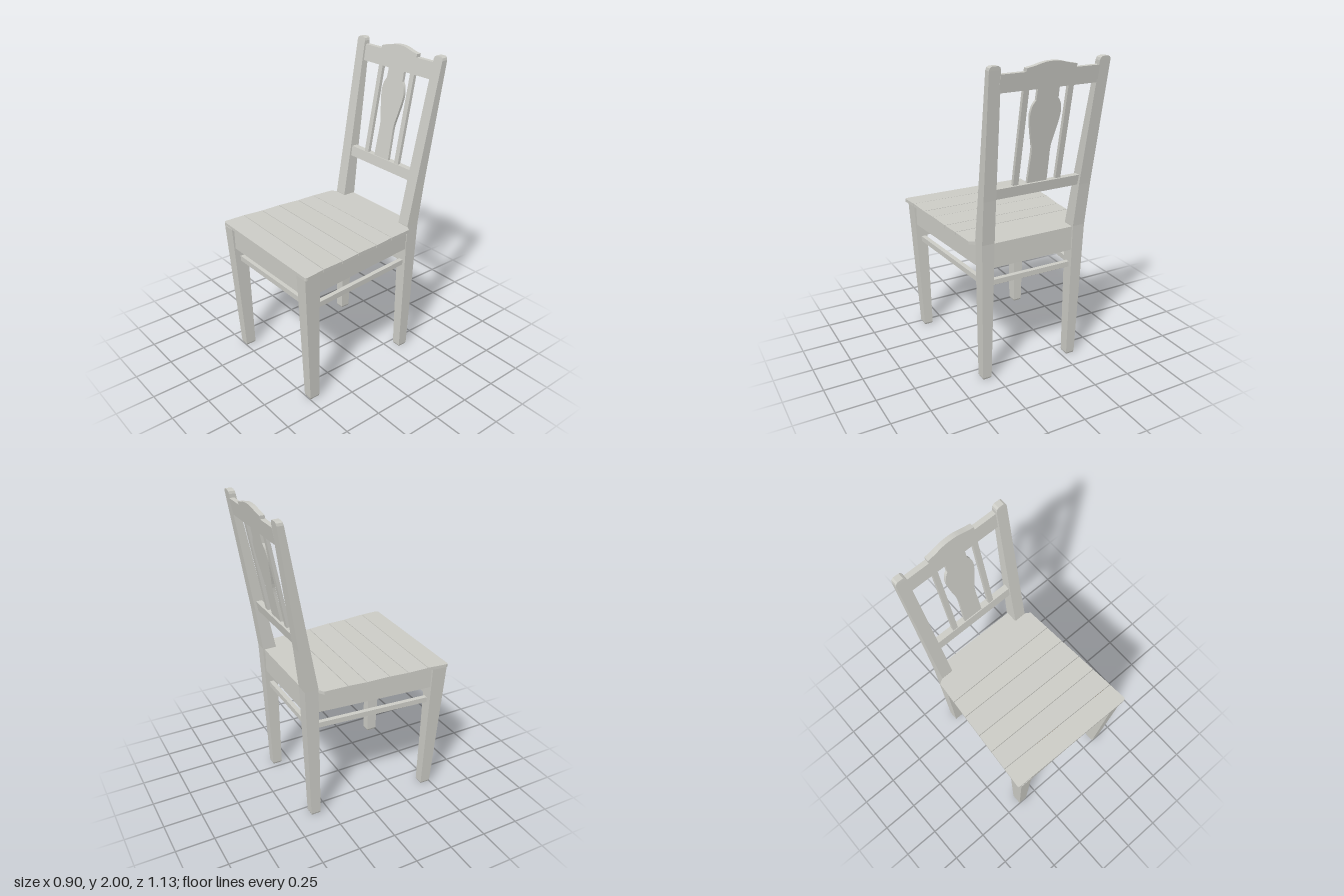
import * as THREE from 'three';

const paint = new THREE.MeshStandardMaterial({ color: 0xcbcbc5 });
paint.name = 'grey paint';
const wood = new THREE.MeshStandardMaterial({ color: 0x755a40 });
wood.name = 'bare wood';

// Rectangular sections [y, xInner, xOuter, zBack, zFront] joined upwards; the bottom cap is bare wood.
function loft(sections, side) {
  const rings = sections.map(([y, xi, xo, zb, zf]) => {
    const [a, b] = side > 0 ? [xi, xo] : [-xo, -xi];
    return [[a, y, zf], [b, y, zf], [b, y, zb], [a, y, zb]];
  });
  const pos = [];
  const quad = (a, b, c, d) => pos.push(...a, ...b, ...c, ...a, ...c, ...d);
  for (let i = 0; i + 1 < rings.length; i++) {
    for (let k = 0; k < 4; k++) {
      const n = (k + 1) % 4;
      quad(rings[i][k], rings[i][n], rings[i + 1][n], rings[i + 1][k]);
    }
  }
  quad(...rings[rings.length - 1]);
  const bottomStart = pos.length / 3;
  quad(...rings[0].slice().reverse());
  const geo = new THREE.BufferGeometry();
  geo.setAttribute('position', new THREE.Float32BufferAttribute(pos, 3));
  geo.addGroup(0, bottomStart, 0);
  geo.addGroup(bottomStart, 6, 1);
  geo.computeVertexNormals();
  return geo;
}

const shapeOf = (pts) => new THREE.Shape(pts.map(([x, y]) => new THREE.Vector2(x, y)));

// Flat plan outline [x, z] raised from y0 to y1
function slab(plan, y0, y1) {
  const geo = new THREE.ExtrudeGeometry(shapeOf(plan), { depth: y1 - y0, bevelEnabled: false });
  return geo.rotateX(Math.PI / 2).translate(0, y1, 0);
}

// Applies a rule to each vertex
function bend(geo, rule) {
  const p = geo.attributes.position;
  const v = new THREE.Vector3();
  for (let i = 0; i < p.count; i++) {
    rule(v.fromBufferAttribute(p, i));
    p.setXYZ(i, v.x, v.y, v.z);
  }
  geo.computeVertexNormals();
  return geo;
}

// Front outline [x, y] leaned back to the slope of the backrest
function leaning(outline, thickness, inset = 0) {
  const geo = new THREE.ExtrudeGeometry(shapeOf(outline), { depth: thickness, bevelEnabled: false });
  return bend(geo, (v) => { v.z += -0.385 - 0.19 * (v.y - 1.215) - inset - thickness; });
}

const rect = (x0, x1, y0, y1) => [[x0, y0], [x1, y0], [x1, y1], [x0, y1]];
const mirrored = (half) => [...half, ...half.slice().reverse().map(([x, y]) => [-x, y])];
const smooth = (pts, n) => new THREE.SplineCurve(pts.map(([x, y]) => new THREE.Vector2(x, y)))
  .getPoints(n).map((p) => [p.x, p.y]);

export function createModel() {
  const chair = new THREE.Group();
  chair.name = 'chair';
  const add = (name, geo, mat = paint) => {
    const mesh = new THREE.Mesh(geo, mat);
    mesh.name = name;
    chair.add(mesh);
  };

  for (const s of [1, -1]) {
    const label = s > 0 ? 'left' : 'right';
    // Tapered front leg
    add(label + 'FrontLeg', loft([
      [0, 0.34, 0.39, 0.435, 0.495],
      [0.012, 0.335, 0.395, 0.43, 0.5],
      [0.916, 0.347, 0.43, 0.445, 0.55],
    ], s), [paint, wood]);
    // Back leg running up into the raked post
    add(label + 'BackPost', loft([
      [0, 0.285, 0.335, -0.37, -0.315],
      [0.012, 0.28, 0.34, -0.375, -0.31],
      [0.94, 0.273, 0.355, -0.41, -0.32],
      [1.22, 0.281, 0.361, -0.445, -0.373],
      [1.975, 0.309, 0.38, -0.557, -0.516],
      [1.99, 0.314, 0.376, -0.559, -0.519],
      [1.998, 0.326, 0.364, -0.56, -0.521],
    ], s), [paint, wood]);

    // Side apron, its bare inner face, and stretcher
    const strip = (outF, outB, t) => {
      const plan = [[outF, 0.45], [outB, -0.33], [outB - t, -0.33], [outF - t, 0.45]];
      return plan.map(([x, z]) => [s * x, z]);
    };
    add(label + 'Apron', slab(strip(0.416, 0.347, 0.03), 0.775, 0.917));
    add(label + 'ApronInside', slab(strip(0.386, 0.317, 0.004), 0.777, 0.915), wood);
    add(label + 'Stretcher', slab(strip(0.388, 0.327, 0.03), 0.65, 0.685));

    // Slim backrest bar
    const bar = s > 0 ? rect(0.125, 0.16, 1.275, 1.86) : rect(-0.16, -0.125, 1.275, 1.86);
    add(label + 'BackBar', leaning(bar, 0.022, 0.004));
  }

  // Front and back aprons and stretchers
  add('frontApron', slab(rect(-0.36, 0.36, 0.505, 0.533), 0.775, 0.917));
  add('frontApronInside', slab(rect(-0.345, 0.345, 0.501, 0.505), 0.777, 0.915), wood);
  add('backApron', slab(rect(-0.285, 0.285, -0.395, -0.367), 0.775, 0.917));
  add('backApronInside', slab(rect(-0.275, 0.275, -0.367, -0.363), 0.777, 0.915), wood);
  add('frontStretcher', slab(rect(-0.35, 0.35, 0.47, 0.5), 0.675, 0.71));
  add('backStretcher', slab(rect(-0.29, 0.29, -0.375, -0.345), 0.65, 0.685));

  // Seat planks: [z at right edge, z at left edge] of each joint
  const joints = [[-0.145, -0.143], [-0.021, -0.009], [0.133, 0.147], [0.262, 0.274], [0.4, 0.424], [0.546, 0.561]];
  const halfWidth = (z) => 0.39 + 0.07 * (z + 0.3);
  const gap = 0.002;
  const plank = (plan, zMid, tilt) =>
    bend(slab(plan, 0.915, 0.936), (v) => { v.y += tilt * (v.z - zMid); });
  const [r0, l0] = joints[0];
  add('seatPlank1', plank([
    [-halfWidth(r0), r0 - gap], [-0.39, -0.3], [-0.355, -0.322], [-0.272, -0.322], [-0.272, -0.4],
    [0.272, -0.4], [0.272, -0.322], [0.355, -0.322], [0.39, -0.3], [halfWidth(l0), l0 - gap],
  ], -0.25, 0.01));
  for (let i = 0; i + 1 < joints.length; i++) {
    const [ra, la] = joints[i];
    const [rb, lb] = joints[i + 1];
    const last = i + 2 === joints.length;
    const wr = halfWidth(rb);
    const wl = halfWidth(lb);
    const front = last
      ? [[wl, lb - 0.014], [wl - 0.004, lb - 0.004], [wl - 0.014, lb],
        [-wr + 0.014, rb], [-wr + 0.004, rb - 0.004], [-wr, rb - 0.014]]
      : [[wl, lb - gap], [-wr, rb - gap]];
    add('seatPlank' + (i + 2), plank(
      [[-halfWidth(ra), ra + gap], [halfWidth(la), la + gap], ...front],
      (ra + rb) / 2, last ? -0.03 : (i % 2 ? 0.025 : -0.025)));
  }
  // Bare underside of the seat between the aprons
  add('seatUnderside', slab([[-0.38, 0.502], [-0.318, -0.364], [0.318, -0.364], [0.38, 0.502]], 0.906, 0.912), wood);

  // Backrest rails
  add('lowerBackRail', leaning(rect(-0.288, 0.288, 1.215, 1.28), 0.04));
  const crest = smooth([[0.158, 1.972], [0.11, 1.981], [0.05, 1.996], [0, 2]], 10);
  add('topRail', leaning(mirrored([[0.312, 1.85], [0.312, 1.952], [0.158, 1.952], ...crest.slice(0, -1)]), 0.032));

  // Vase-shaped splat
  const vase = smooth([[0.066, 1.275], [0.063, 1.4], [0.062, 1.5], [0.08, 1.585], [0.095, 1.66],
    [0.099, 1.71], [0.09, 1.755], [0.071, 1.785]], 24);
  add('backSplat', leaning(mirrored([...vase, [0.069, 1.86]]), 0.018, 0.006));

  return chair;
}
